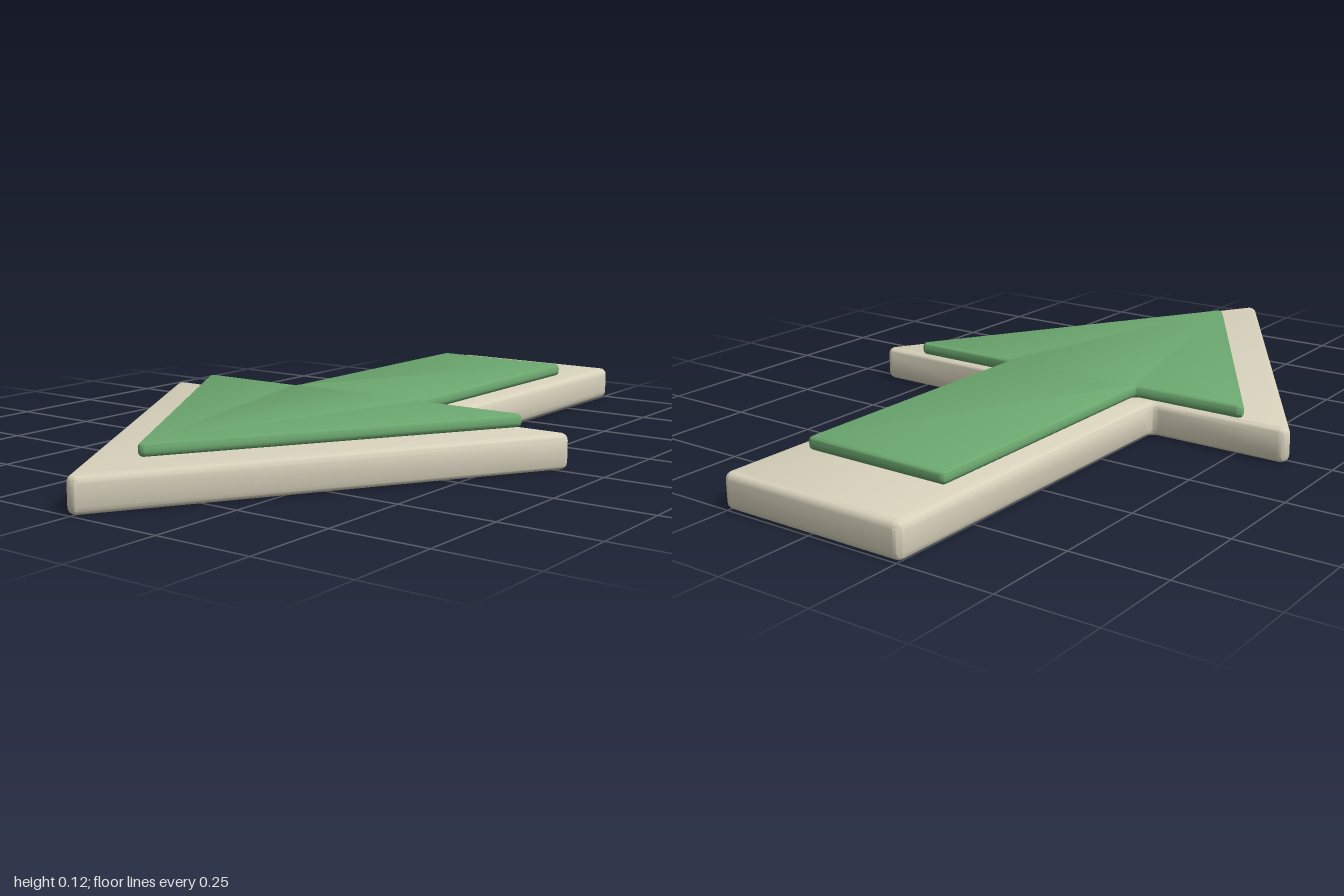
import * as THREE from 'three';
import { toCreasedNormals } from 'three/addons/utils/BufferGeometryUtils.js';

// Closed counter-clockwise outline with every corner rounded to radius r
function roundedShape(points, r) {
  const shape = new THREE.Shape();
  points.forEach((p, i) => {
    const n = points.length;
    const a = points[(i + n - 1) % n].clone().sub(p).normalize();
    const b = points[(i + 1) % n].clone().sub(p).normalize();
    const half = Math.acos(a.dot(b)) / 2;
    const centre = a.clone().add(b).normalize().multiplyScalar(r / Math.sin(half)).add(p);
    const t = r / Math.tan(half);
    const start = a.multiplyScalar(t).add(p).sub(centre);
    const end = b.clone().multiplyScalar(t).add(p).sub(centre);
    const concave = start.cross(end) < 0;
    shape.absarc(centre.x, centre.y, r, start.angle(), end.angle(), concave);
  });
  shape.closePath();
  return shape;
}

// Flat arrow pointing to +z with softened edges, lying between two heights
function arrowPlate(name, color, { shaft, wing, back, neck, tip, bottom, top, bevel, radius }) {
  const right = [[shaft, back], [shaft, neck], [wing, neck]];
  const left = right.map(([x, z]) => [-x, z]).reverse();
  const outline = [...right, [0, tip], ...left].map(([x, z]) => new THREE.Vector2(x, z));
  const geometry = new THREE.ExtrudeGeometry(roundedShape(outline, radius), {
    depth: top - bottom - 2 * bevel,
    bevelThickness: bevel,
    bevelSize: bevel,
    bevelOffset: -bevel,
    bevelSegments: 4,
    curveSegments: 6,
  });
  geometry.rotateX(Math.PI / 2);
  geometry.translate(0, top - bevel, 0);
  const mesh = new THREE.Mesh(
    toCreasedNormals(geometry, 0.6),
    new THREE.MeshStandardMaterial({ color })
  );
  mesh.name = name;
  return mesh;
}

export function createModel() {
  const group = new THREE.Group();
  group.name = 'arrowSign';

  // Thick cream backing plate
  group.add(arrowPlate('basePlate', 0xd8d2bc, {
    shaft: 0.26, wing: 0.656, back: -1, neck: -0.035, tip: 1.018,
    bottom: 0, top: 0.09, bevel: 0.018, radius: 0.02,
  }));

  // Thin green arrow resting on the plate
  group.add(arrowPlate('arrowInlay', 0x6ca86f, {
    shaft: 0.205, wing: 0.523, back: -0.79, neck: -0.027, tip: 0.8,
    bottom: 0.09, top: 0.124, bevel: 0.012, radius: 0.013,
  }));

  return group;
}
